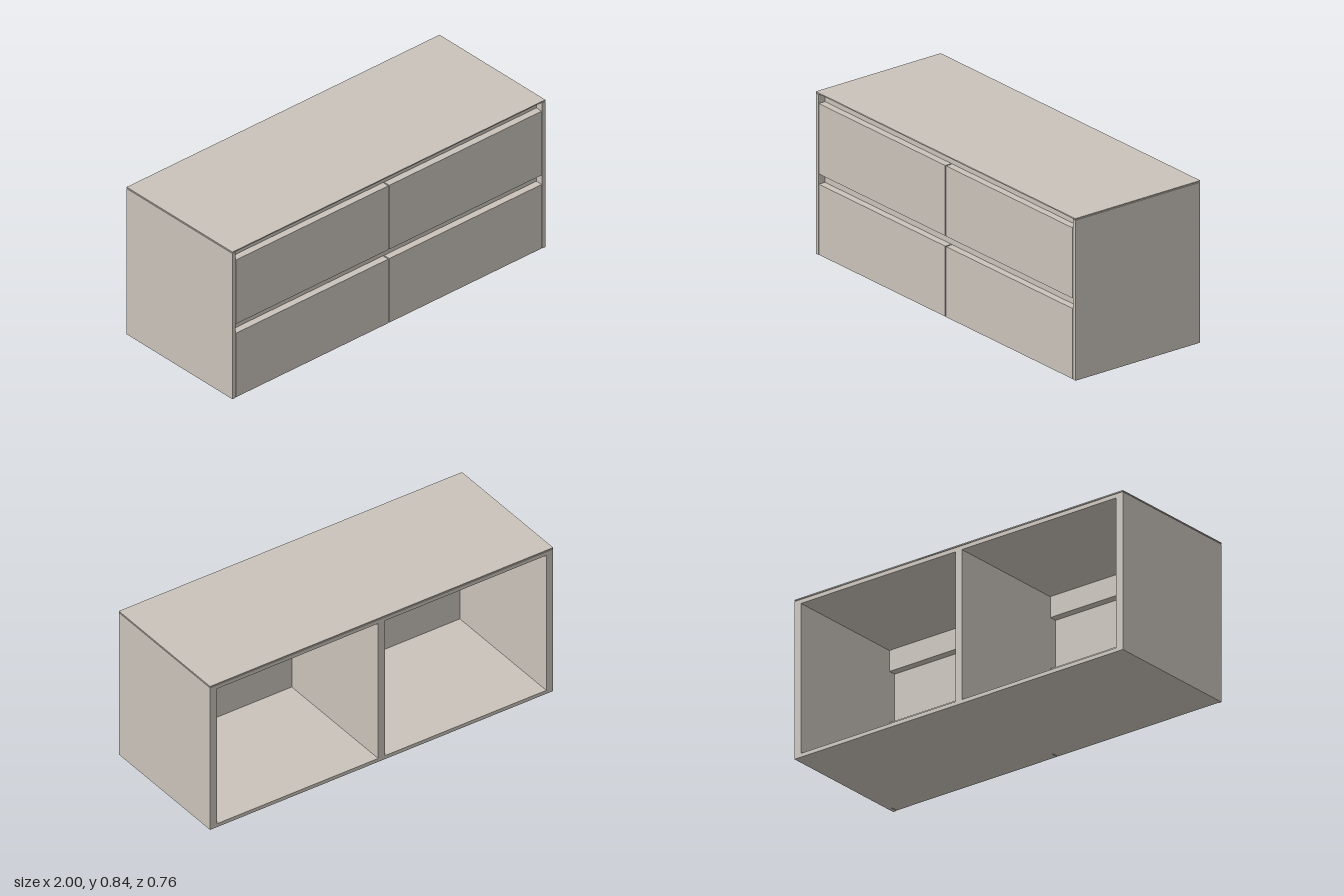
import * as THREE from 'three';

export function createModel() {
  const group = new THREE.Group();
  group.name = 'drawerCabinet';

  const greige = new THREE.MeshStandardMaterial({ color: 0xc9c2ba });
  greige.name = 'greige';

  // Panel given by its lower and upper limits on each axis
  const panel = (name, [x0, x1], [y0, y1], [z0, z1]) => {
    const mesh = new THREE.Mesh(new THREE.BoxGeometry(x1 - x0, y1 - y0, z1 - z0), greige);
    mesh.position.set((x0 + x1) / 2, (y0 + y1) / 2, (z0 + z1) / 2);
    mesh.name = name;
    group.add(mesh);
  };

  const T = 0.02;               // board thickness
  const back = -0.38, front = 0.38, carcassFront = 0.34;
  const carcassTop = 0.831;
  const body = [back, carcassFront];

  // Thin worktop above a shadow gap
  panel('worktop', [-1, 1], [0.834, 0.84], [back, front]);

  // Open-backed carcass: floor, ceiling and central divider
  panel('carcassFloor', [-0.98, 0.98], [0, T], body);
  panel('carcassCeiling', [-0.98, 0.98], [0.81, carcassTop], body);
  panel('divider', [-T, T], [T, 0.81], body);

  // Recessed grip rails behind the drawer fronts
  panel('topGripRail', [-0.979, 0.979], [0.7, 0.81], [0.3, 0.341]);
  panel('middleGripRail', [-0.979, 0.979], [0.29, 0.43], [0.3, 0.341]);

  // Both sides: outer cover panel, carcass side and two drawer fronts
  for (const [side, s] of [['left', 1], ['right', -1]]) {
    const span = (a, b) => (s > 0 ? [a, b] : [-b, -a]);
    panel(`${side}CoverPanel`, span(0.98, 1), [0, carcassTop], [back, front]);
    panel(`${side}CarcassSide`, span(0.96, 0.98), [T, 0.81], body);
    panel(`${side}LowerDrawerFront`, span(0.003, 0.977), [0.002, 0.367], [0.342, front]);
    panel(`${side}UpperDrawerFront`, span(0.003, 0.977), [0.42, 0.785], [0.342, front]);
  }

  return group;
}
